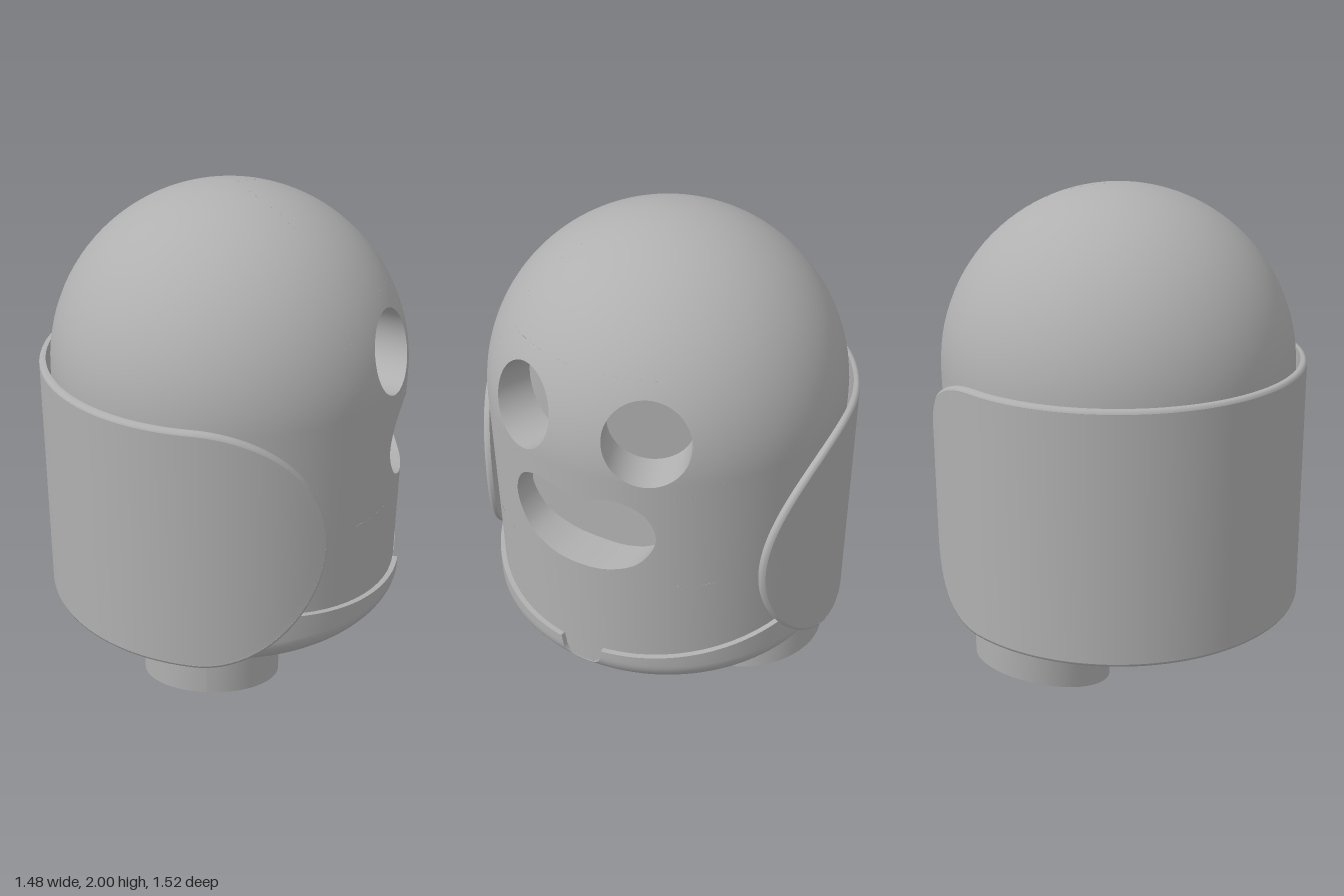
import * as THREE from 'three';
import { mergeVertices } from 'three/addons/utils/BufferGeometryUtils.js';

const CX = 0.015;           // x of the body's axis
const R = 0.715, YD = 1.285; // dome radius and centre height
const Q_TOP = YD + R * Math.PI / 2;
const lerp = THREE.MathUtils.lerp;

const grey = new THREE.MeshStandardMaterial({ color: 0xb0b0b0, side: THREE.DoubleSide });
grey.name = 'grey';

// Surface from fn(u, v) -> [x, y, z], u and v in 0..1
function grid(fn, nu, nv) {
  const pos = [], idx = [], row = nu + 1;
  for (let j = 0; j <= nv; j++)
    for (let i = 0; i <= nu; i++) pos.push(...fn(i / nu, j / nv));
  for (let j = 0; j < nv; j++)
    for (let i = 0; i < nu; i++) {
      const a = j * row + i, b = a + 1, c = a + row, d = c + 1;
      idx.push(a, c, b, b, c, d);
    }
  let g = new THREE.BufferGeometry();
  g.setAttribute('position', new THREE.Float32BufferAttribute(pos, 3));
  g.setIndex(idx);
  g = mergeVertices(g, 1e-5);
  g.computeVertexNormals();
  return g;
}

function add(group, name, geometry) {
  const mesh = new THREE.Mesh(geometry, grey);
  mesh.name = name;
  group.add(mesh);
  return mesh;
}

const polar = (r, a, y) => [CX + r * Math.cos(a), y, r * Math.sin(a)];

// Body skin: angle from +x, and q = distance along the profile
const bodyRadius = y => y < YD ? R - 0.014 * (YD - y) : Math.sqrt(Math.max(0, R * R - (y - YD) ** 2));
const toQ = y => y < YD ? y : YD + R * Math.asin((y - YD) / R);
const toY = q => q < YD ? q : YD + R * Math.sin((q - YD) / R);
const skin = (a, q) => polar(q > Q_TOP - 1e-6 ? 0 : bodyRadius(toY(q)), a, toY(q));

// Exact normals keep the separate skin patches seamless
function smoothSkin(g) {
  const p = g.attributes.position, n = new THREE.Vector3();
  for (let i = 0; i < p.count; i++) {
    n.set(p.getX(i) - CX, Math.max(0, p.getY(i) - YD), p.getZ(i)).normalize();
    g.attributes.normal.setXYZ(i, n.x, n.y, n.z);
  }
  return g;
}

const skinPatch = (a0, a1, q0, q1, nu, nv) =>
  smoothSkin(grid((u, v) => skin(lerp(a0, a1, u), lerp(q0, q1, v)), nu, nv));

// A skin patch with a recess sunk along the direction 'axis'.
// outline: counter-clockwise [sideways, y]; rect: [a0, a1, q0, q1]
function addRecess(group, name, axis, outline, rect, floor) {
  const n = outline.length, [a0, a1, q0, q1] = rect;
  const inner = outline.map(([w, y]) => [axis + Math.asin(w / bodyRadius(y)), toQ(y)]);
  const ca = (a0 + a1) / 2, cq = (q0 + q1) / 2, ha = (a1 - a0) / 2, hq = (q1 - q0) / 2;
  const border = inner.map(([a, q]) => {
    const c = (a - ca) / ha, s = (q - cq) / hq, m = Math.max(Math.abs(c), Math.abs(s));
    return [ca + ha * c / m, cq + hq * s / m];
  });
  // Snap the nearest border points onto the rectangle's corners
  for (const [a, q] of [[a0, q0], [a1, q0], [a1, q1], [a0, q1]]) {
    const dist = b => Math.hypot((b[0] - a) / ha, (b[1] - q) / hq);
    let best = 0;
    border.forEach((b, i) => { if (dist(b) < dist(border[best])) best = i; });
    border[best] = [a, q];
  }
  const at = u => Math.round(u * n) % n;
  const floorPoint = (w, y) => [
    CX + floor * Math.cos(axis) - w * Math.sin(axis), y,
    floor * Math.sin(axis) + w * Math.cos(axis)];
  add(group, name + 'Surround', smoothSkin(grid((u, v) => {
    const b = border[at(u)], h = inner[at(u)];
    return skin(lerp(b[0], h[0], v), lerp(b[1], h[1], v));
  }, n, 8)));
  add(group, name + 'Wall', grid((u, v) => {
    const s = skin(...inner[at(u)]), f = floorPoint(...outline[at(u)]);
    return s.map((c, k) => lerp(c, f[k], v));
  }, n, 1));
  const my = outline.reduce((t, p) => t + p[1], 0) / n;
  add(group, name + 'Floor', grid((u, v) => {
    const [w, y] = outline[at(u)];
    return floorPoint(w * (1 - v), lerp(y, my, v));
  }, n, 1));
}

function buildBody() {
  const body = new THREE.Group();
  body.name = 'body';
  const A = Math.PI / 4, qMouth = 0.8, qEye = 1.23, qBrow = toQ(1.66);
  add(body, 'bodyBack', skinPatch(A, 2 * Math.PI - A, 0.33, Q_TOP, 60, 48));
  add(body, 'bodyFrontLower', skinPatch(-A, A, 0.33, qMouth, 20, 6));
  add(body, 'bodyFrontTop', skinPatch(-A, A, qBrow, Q_TOP, 20, 20));

  // Eyes: round sockets
  const eye = Array.from({ length: 64 }, (_, i) => {
    const t = i / 64 * 2 * Math.PI;
    return [0.163 * Math.cos(t), 1.437 + 0.163 * Math.sin(t)];
  });
  addRecess(body, 'leftEye', Math.PI / 8, eye, [0, A, qEye, qBrow], 0.54);
  addRecess(body, 'rightEye', -Math.PI / 8, eye, [-A, 0, qEye, qBrow], 0.54);

  // Mouth: bean-shaped recess
  const half = [[0.13, 0.857], [0.245, 0.912], [0.304, 1.03], [0.26, 1.147], [0.16, 1.194], [0.08, 1.18]];
  const points = [[0, 0.845], ...half, [0, 1.165], ...half.map(([w, y]) => [-w, y]).reverse()];
  const curve = new THREE.CatmullRomCurve3(points.map(([w, y]) => new THREE.Vector3(w, y, 0)), true);
  const mouth = curve.getSpacedPoints(96).slice(0, 96).map(p => [p.x, p.y]);
  addRecess(body, 'mouth', 0, mouth, [-A, A, qMouth, qEye], 0.54);
  return body;
}

// Base: rounded bowl with a sloping rim and a small round notch in front
function buildBase() {
  const base = new THREE.Group();
  base.name = 'base';
  const RB = 0.724;
  const angle = u => { const s = 2 * u - 1; return Math.PI * s * (0.15 + 0.85 * s * s); };
  const outer = y => RB - 0.09 * Math.max(0, (0.39 - y) / 0.125) ** 2;
  const top = a => {
    const z = RB * Math.sin(a), plane = 0.425 + 0.165 * RB * (1 - Math.cos(a));
    if (Math.cos(a) < 0 || Math.abs(z) > 0.09) return plane;
    return Math.min(plane, 0.41 - Math.sqrt(0.0081 - z * z));
  };
  add(base, 'baseBowl', grid((u, v) => {
    const a = angle(u);
    if (v <= 0.5) {
      const r = outer(0.265) * v * 2;
      return polar(r, a, 0.13 + 0.135 * (r / outer(0.265)) ** 2);
    }
    const w = (v - 0.5) * 2;
    const y = w < 0.8 ? lerp(0.265, 0.39, w / 0.8) : lerp(0.39, top(a), (w - 0.8) / 0.2);
    const yc = Math.min(y, top(a));
    return polar(outer(yc), a, yc);
  }, 160, 20));
  add(base, 'baseRim', grid((u, v) => {
    const a = angle(u), y = top(a);
    return polar(lerp(outer(y), 0.69, v), a, y);
  }, 160, 1));
  return base;
}

// Wraparound shell: open at the front, with semicircular ends and softened edges
function buildShell() {
  const shell = new THREE.Group();
  shell.name = 'wraparoundShell';
  const point = (s, t, inset, r) => {
    const k = 0.51 - inset;
    const end = Math.acos((-0.08 + k * Math.sin(t) - CX) / 0.757);
    return polar(r, Math.PI + s * (Math.PI - end), 0.81 - k * Math.cos(t));
  };
  const IN = 0.732;
  add(shell, 'shellOutside', grid((u, v) => point(2 * u - 1, v * Math.PI, 0.014, 0.758), 72, 40));
  add(shell, 'shellInside', grid((u, v) => point(1 - 2 * u, v * Math.PI, 0, IN), 72, 40));
  const section = [[0.014, 0.758], [0.004, 0.754], [0, 0.745], [0, IN]];
  const loop = u => {
    const side = Math.min(3, Math.floor(u * 4)), f = u * 4 - side;
    return [[1, f * Math.PI], [1 - 2 * f, Math.PI], [-1, (1 - f) * Math.PI], [2 * f - 1, 0]][side];
  };
  add(shell, 'shellEdge', grid((u, v) => point(...loop(u), ...section[Math.round(v * 3)]), 288, 3));
  return shell;
}

// Foot: upright cylinder whose sole rises outwards
function buildFoot(side) {
  const g = new THREE.CylinderGeometry(0.275, 0.275, 1, 48);
  g.translate(-0.03, 0, side * 0.42);
  const p = g.attributes.position;
  for (let i = 0; i < p.count; i++)
    p.setY(i, p.getY(i) > 0 ? 0.33 : (Math.abs(p.getZ(i)) - 0.145) * 0.262);
  g.computeVertexNormals();
  return g;
}

export function createModel() {
  const model = new THREE.Group();
  model.name = 'roundFigure';
  model.add(buildBody(), buildBase(), buildShell());
  add(model, 'footA', buildFoot(1));
  add(model, 'footB', buildFoot(-1));
  return model;
}
